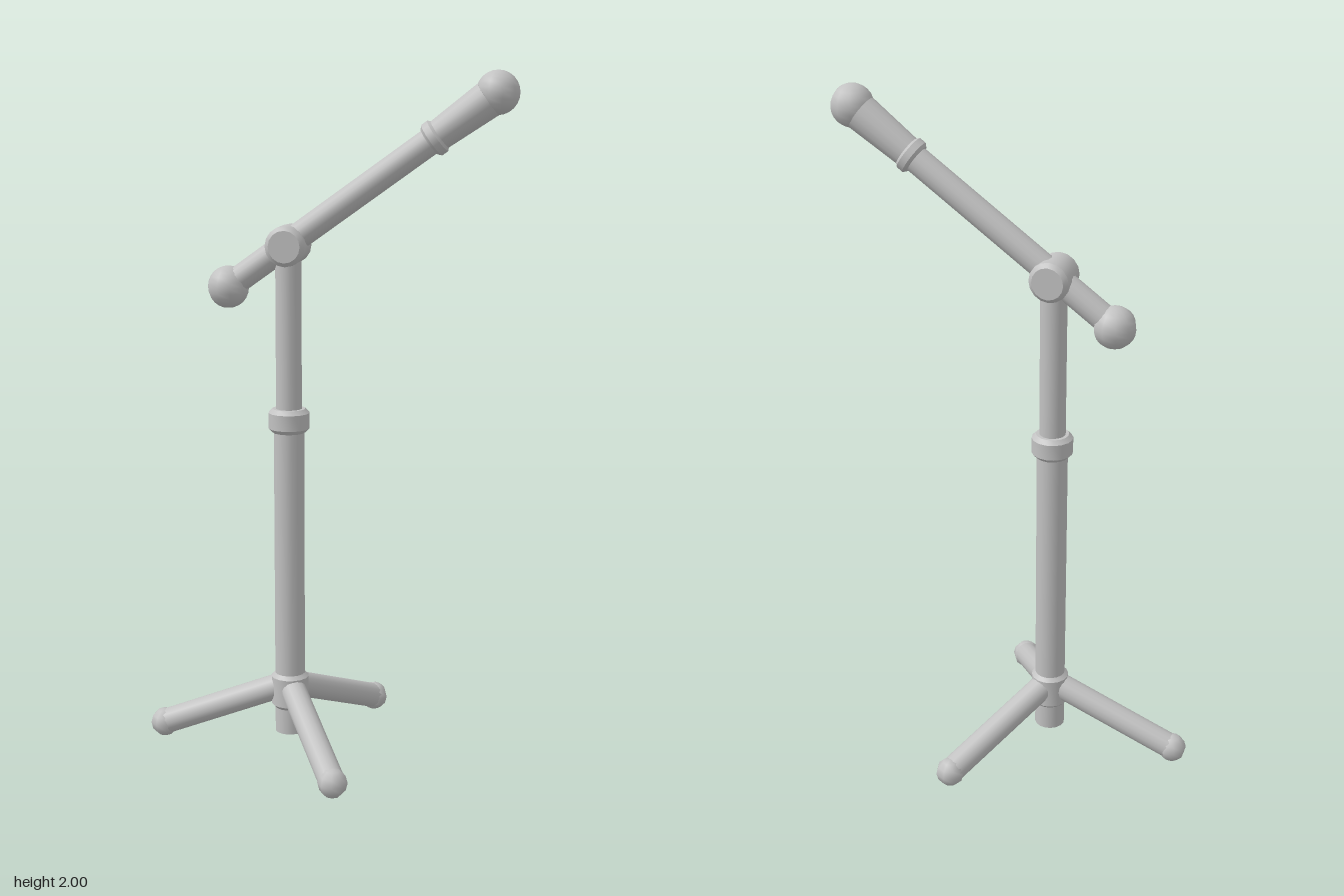
import * as THREE from 'three';
import { toCreasedNormals } from 'three/addons/utils/BufferGeometryUtils.js';

const V = (x, y, z) => new THREE.Vector3(x, y, z);
const UP = V(0, 1, 0);

export function createModel() {
  const group = new THREE.Group();
  const grey = new THREE.MeshStandardMaterial({ color: 0xc2c2c2 });
  grey.name = 'light grey';

  const add = (name, geometry, position) => {
    const mesh = new THREE.Mesh(geometry, grey);
    mesh.name = name;
    mesh.position.copy(position);
    group.add(mesh);
    return mesh;
  };

  // Straight or tapered rod between two points
  const rod = (name, a, b, ra, rb = ra) => {
    const dir = b.clone().sub(a);
    const geo = new THREE.CylinderGeometry(rb, ra, dir.length(), 16);
    const mesh = add(name, geo, a.clone().add(b).multiplyScalar(0.5));
    mesh.quaternion.setFromUnitVectors(UP, dir.normalize());
  };

  // Collar with chamfered rims, centred on a point along an axis
  const collar = (name, centre, axis, r, length, bevel) => {
    const h = length / 2;
    const profile = [[0, -h], [r - bevel, -h], [r, bevel - h], [r, h - bevel], [r - bevel, h], [0, h]]
      .map(([x, y]) => new THREE.Vector2(x, y));
    const geo = toCreasedNormals(new THREE.LatheGeometry(profile, 16), 0.6);
    const mesh = add(name, geo, centre);
    mesh.quaternion.setFromUnitVectors(UP, axis);
  };

  const ball = (name, centre, r, sides, rows) =>
    add(name, new THREE.SphereGeometry(r, sides, rows), centre);

  // Telescopic post
  const px = -0.108;
  rod('lowerPost', V(px, 0.05, 0), V(px, 1.0, 0), 0.045);
  rod('upperPost', V(px, 1.0, 0), V(px, 1.51, 0), 0.038);
  collar('heightClutch', V(px, 1.005, 0), UP, 0.06, 0.07, 0.012);
  collar('legHub', V(px, 0.18, 0), UP, 0.056, 0.11, 0.012);

  // Three splayed legs with faceted feet
  for (let i = 0; i < 3; i++) {
    const a = Math.PI + (i * Math.PI * 2) / 3;
    const end = V(px + 0.394 * Math.cos(a), 0.043, 0.394 * Math.sin(a));
    rod('leg', V(px, 0.2, 0), end, 0.038);
    ball('foot', end, 0.043, 8, 6).rotation.y = Math.PI / 8 - a;
  }

  // Boom arm on its pivot
  const tail = V(-0.285, 1.39, 0);
  const tip = V(0.479, 1.94, 0);
  const axis = tip.clone().sub(tail).normalize();
  const along = (t) => tail.clone().addScaledVector(axis, t);
  collar('boomPivot', V(px, 1.513, 0), V(0, 0, 1), 0.058, 0.12, 0.012);
  rod('boom', tail, along(0.75), 0.038);
  ball('counterweight', tail, 0.061, 10, 12);

  // Microphone
  collar('microphoneClip', along(0.73), axis, 0.051, 0.036, 0.008);
  rod('microphoneBody', along(0.73), along(0.91), 0.043, 0.052);
  ball('microphoneHead', tip, 0.061, 10, 12);

  return group;
}
